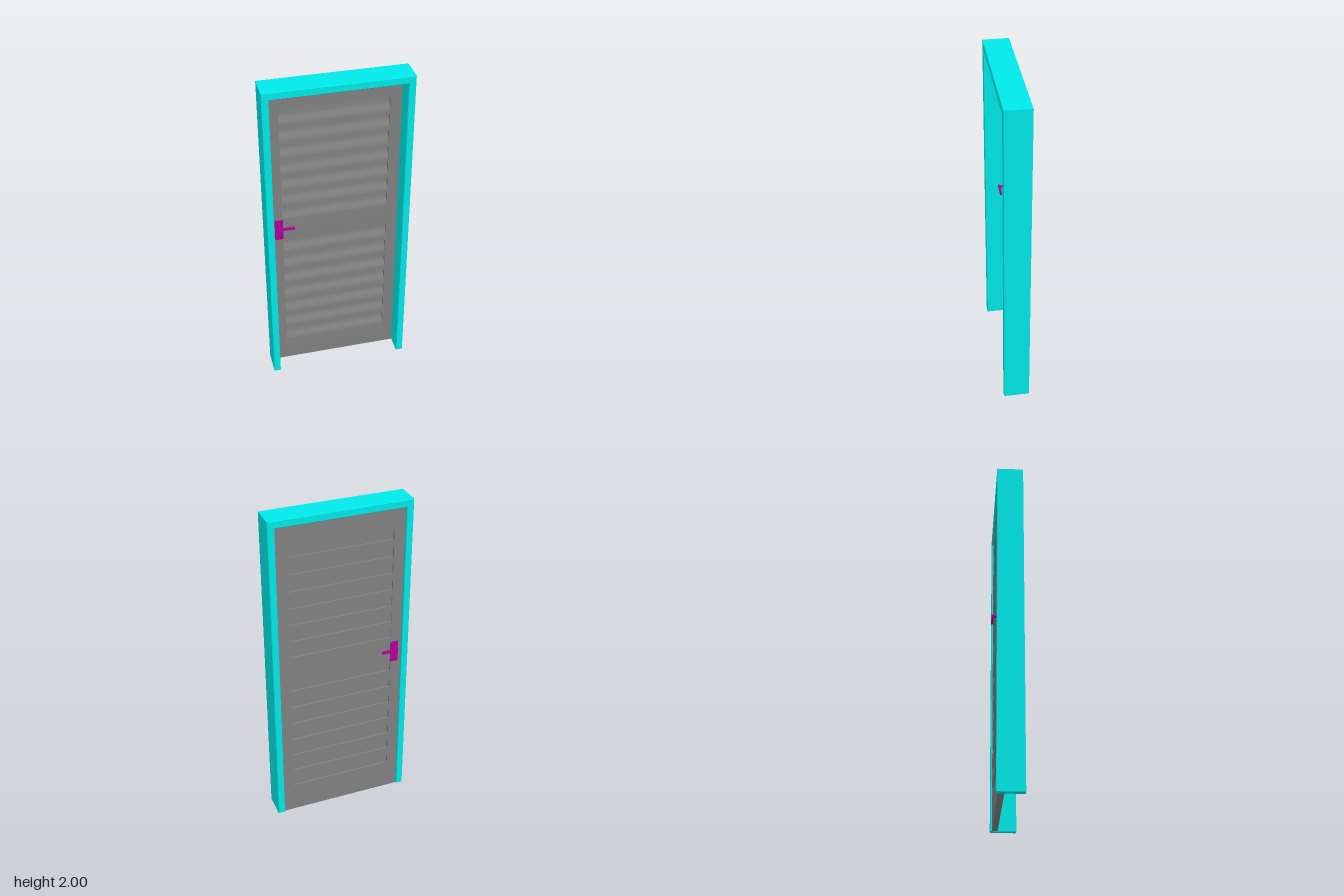
import * as THREE from 'three';
import { toCreasedNormals } from 'three/addons/utils/BufferGeometryUtils.js';

const FRONT = -0.022, BACK = -0.056, MID = (FRONT + BACK) / 2;
const HALF = 0.318; // half width of the louvred area
const BOTTOM = 0.001, TOP = 1.954;

function mesh(name, geometry, material, x = 0, y = 0, z = 0) {
  const m = new THREE.Mesh(geometry, material);
  m.name = name;
  m.position.set(x, y, z);
  return m;
}

function box(name, material, x0, x1, y0, y1, z0, z1) {
  return mesh(name, new THREE.BoxGeometry(x1 - x0, y1 - y0, z1 - z0), material,
    (x0 + x1) / 2, (y0 + y1) / 2, (z0 + z1) / 2);
}

const shape = (points) => new THREE.Shape(points.map(([x, y]) => new THREE.Vector2(x, y)));

// U-shaped frame with slightly eased edges: two jambs and a head, open at the floor
function createFrame(material) {
  const s = shape([
    [-0.427, 0], [-0.386, 0], [-0.386, 1.956], [0.386, 1.956],
    [0.386, 0], [0.427, 0], [0.427, 2], [-0.427, 2],
  ]);
  const bevel = 0.003;
  const g = new THREE.ExtrudeGeometry(s, {
    depth: 0.156 - 2 * bevel, bevelThickness: bevel, bevelSize: bevel, bevelOffset: -bevel, bevelSegments: 1,
  });
  return mesh('frame', g, material, 0, 0, -0.067 + bevel);
}

// Louvred panel: a vertical section with pockets on both faces, swept across x
function createLouvrePanel(material) {
  const louvreTops = [];
  for (let i = 0; i < 7; i++) louvreTops.push(0.247 + i * 0.118);
  for (let i = 0; i < 7; i++) louvreTops.push(1.187 + i * 0.1067);

  const depth = 0.019, steps = 8;
  const front = [[FRONT, BOTTOM]], back = [[BACK, BOTTOM]];
  for (const t of louvreTops) {
    // front pocket: softly curved sill, upright slat, square head
    for (let i = 0; i <= steps; i++) {
      const k = i / steps;
      front.push([FRONT - depth * (1 - Math.cos(Math.PI * k)) / 2, t - 0.09 + 0.062 * k]);
    }
    front.push([FRONT - depth, t], [FRONT, t]);
    // back slot
    back.push([BACK, t - 0.058], [BACK + 0.01, t - 0.058], [BACK + 0.01, t], [BACK, t]);
  }
  front.push([FRONT, TOP]);
  back.push([BACK, TOP]);

  const s = shape([...front, ...back.reverse()].map(([z, y]) => [-z, y]));
  const g = new THREE.ExtrudeGeometry(s, { depth: 2 * HALF, bevelEnabled: false });
  g.rotateY(Math.PI / 2);
  return mesh('louvrePanel', toCreasedNormals(g, 0.5), material, -HALF, 0, 0);
}

function createLeaf(material) {
  const leaf = new THREE.Group();
  leaf.name = 'doorLeaf';
  leaf.add(createLouvrePanel(material));
  leaf.add(box('rightStile', material, -0.384, -HALF, BOTTOM, TOP, BACK, FRONT));
  leaf.add(box('leftStile', material, HALF, 0.384, BOTTOM, TOP, BACK, FRONT));
  return leaf;
}

// One handle set, side = 1 for the front and -1 for the back
function createHandle(material, side) {
  const handle = new THREE.Group();
  handle.name = side > 0 ? 'frontHandle' : 'backHandle';
  const half = (FRONT - BACK) / 2;
  const at = (d) => MID + side * (half + d); // distance out from the door face
  const slab = (name, x0, x1, y0, y1, d0, d1) => box(name, material, x0, x1, y0, y1,
    Math.min(at(d0), at(d1)), Math.max(at(d0), at(d1)));
  const round = (name, radius, x, y, length) => mesh(name,
    new THREE.CylinderGeometry(radius, radius, length, 16).rotateX(Math.PI / 2),
    material, x, y, at(length / 2));

  handle.add(slab('handlePlate', -0.365, -0.315, 0.961, 1.097, 0, 0.004));
  handle.add(round('keyhole', 0.006, -0.34, 0.986, 0.005));
  handle.add(round('spindle', 0.0085, -0.337, 1.05, 0.028));
  handle.add(slab('lever', -0.347, -0.251, 1.043, 1.057, 0.024, 0.036));
  return handle;
}

export function createModel() {
  const model = new THREE.Group();
  model.name = 'louvredDoor';
  const teal = new THREE.MeshStandardMaterial({ color: 0x00e8e8 });
  const darkGrey = new THREE.MeshStandardMaterial({ color: 0x808080 });
  const purple = new THREE.MeshStandardMaterial({ color: 0xb00098 });
  model.add(createFrame(teal), createLeaf(darkGrey));
  model.add(createHandle(purple, 1), createHandle(purple, -1));
  return model;
}
